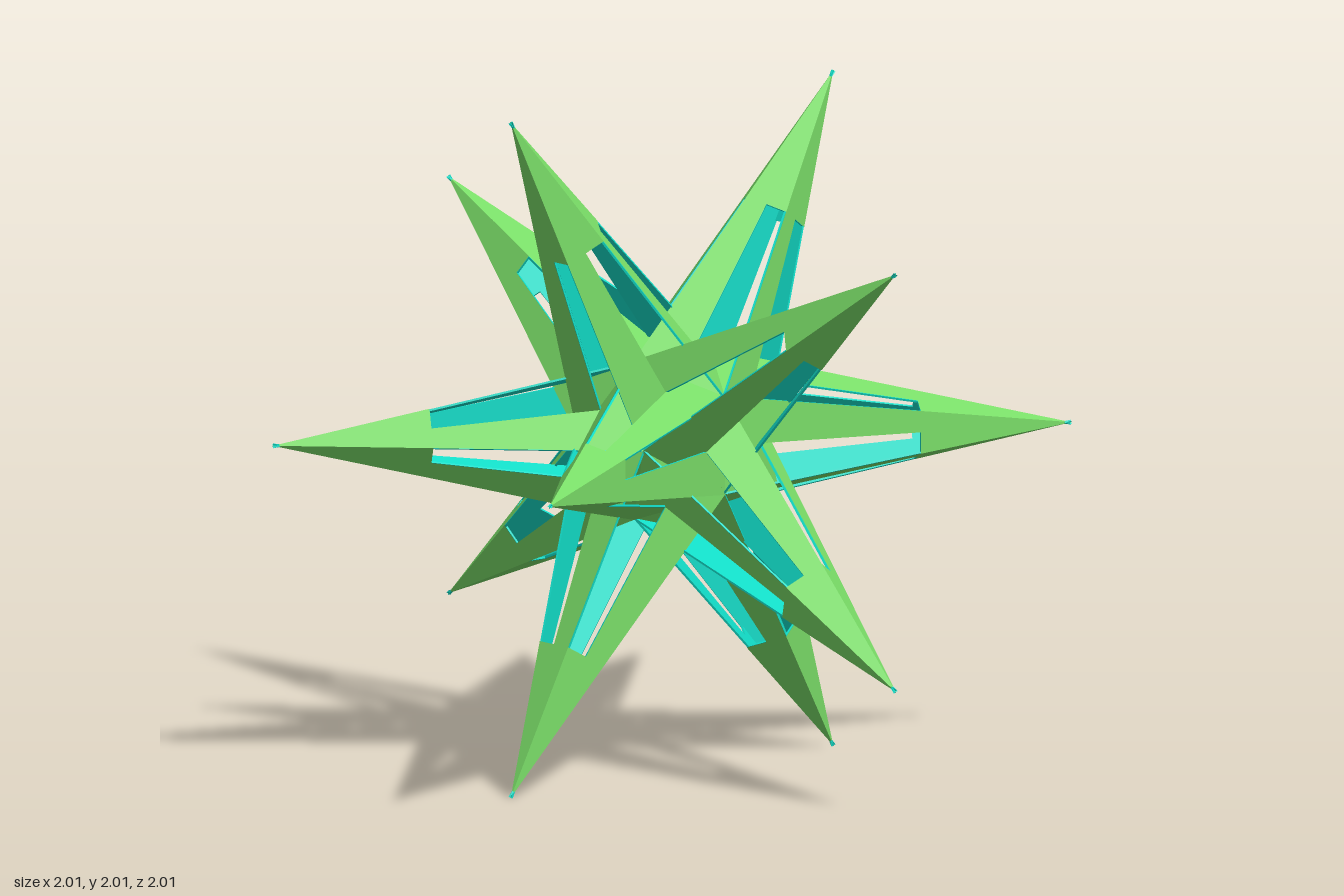
import * as THREE from 'three';

const G = (Math.sqrt(5) - 1) / 2;      // 0.618
const DIST = 0.2205;                   // plane distance from the centre
const REACH = 2 / Math.sqrt(3);        // blade length from the plate centre
const SLOPE = 0.1363;                  // half width of a blade per unit length
const CAP = 0.465;                     // where the slot starts, measured from the tip

// Three-bladed plate: each blade is whole near its tip, then keeps only one half
function plateShape() {
  const arm = [
    [0, REACH - CAP],
    [SLOPE * CAP, REACH - CAP],
    [0, REACH],
    [-0.1708, -0.0986],
  ];
  const pts = [];
  for (let k = 0; k < 3; k++) {
    for (const [x, y] of arm) {
      pts.push(new THREE.Vector2(x, y).rotateAround(new THREE.Vector2(), k * Math.PI * 2 / 3));
    }
  }
  return new THREE.Shape(pts);
}

// All sign and cyclic variants of (a, b, 0)
function cyclic(a, b) {
  const out = [];
  for (const s of [1, -1]) for (const t of [1, -1]) {
    const x = a * s, y = b * t;
    out.push(new THREE.Vector3(x, y, 0), new THREE.Vector3(0, x, y), new THREE.Vector3(y, 0, x));
  }
  return out;
}

export function createModel() {
  const model = new THREE.Group();
  model.name = 'spikedStar';
  const green = new THREE.MeshStandardMaterial({ color: 0x7ade68 });
  const teal = new THREE.MeshStandardMaterial({ color: 0x12ddc8 });

  const shape = plateShape();
  const skin = new THREE.ShapeGeometry(shape);
  // thin inner layer just below the skin
  const lining = new THREE.ExtrudeGeometry(shape, { depth: 0.006, bevelEnabled: false });
  lining.translate(0, 0, -0.0075);

  const tips = cyclic(1, G);
  const normals = cyclic(G, 1 + G);
  for (const x of [1, -1]) for (const y of [1, -1]) for (const z of [1, -1]) {
    normals.push(new THREE.Vector3(x, y, z));
  }

  // One plate in each of the twenty planes, its blades ending at three tips
  for (const n of normals) {
    n.normalize();
    const tip = tips.find((t) => Math.abs(t.dot(n) - DIST) < 0.01);
    const centre = n.clone().multiplyScalar(DIST);
    const up = tip.clone().sub(centre).normalize();
    const right = up.clone().cross(n);
    const plate = new THREE.Group();
    plate.name = 'plate';
    plate.quaternion.setFromRotationMatrix(new THREE.Matrix4().makeBasis(right, up, n));
    plate.position.copy(centre).add(new THREE.Vector3(0, 1, 0));
    const outer = new THREE.Mesh(skin, green);
    outer.name = 'outerFace';
    const inner = new THREE.Mesh(lining, teal);
    inner.name = 'innerFace';
    plate.add(outer, inner);
    model.add(plate);
  }
  return model;
}
